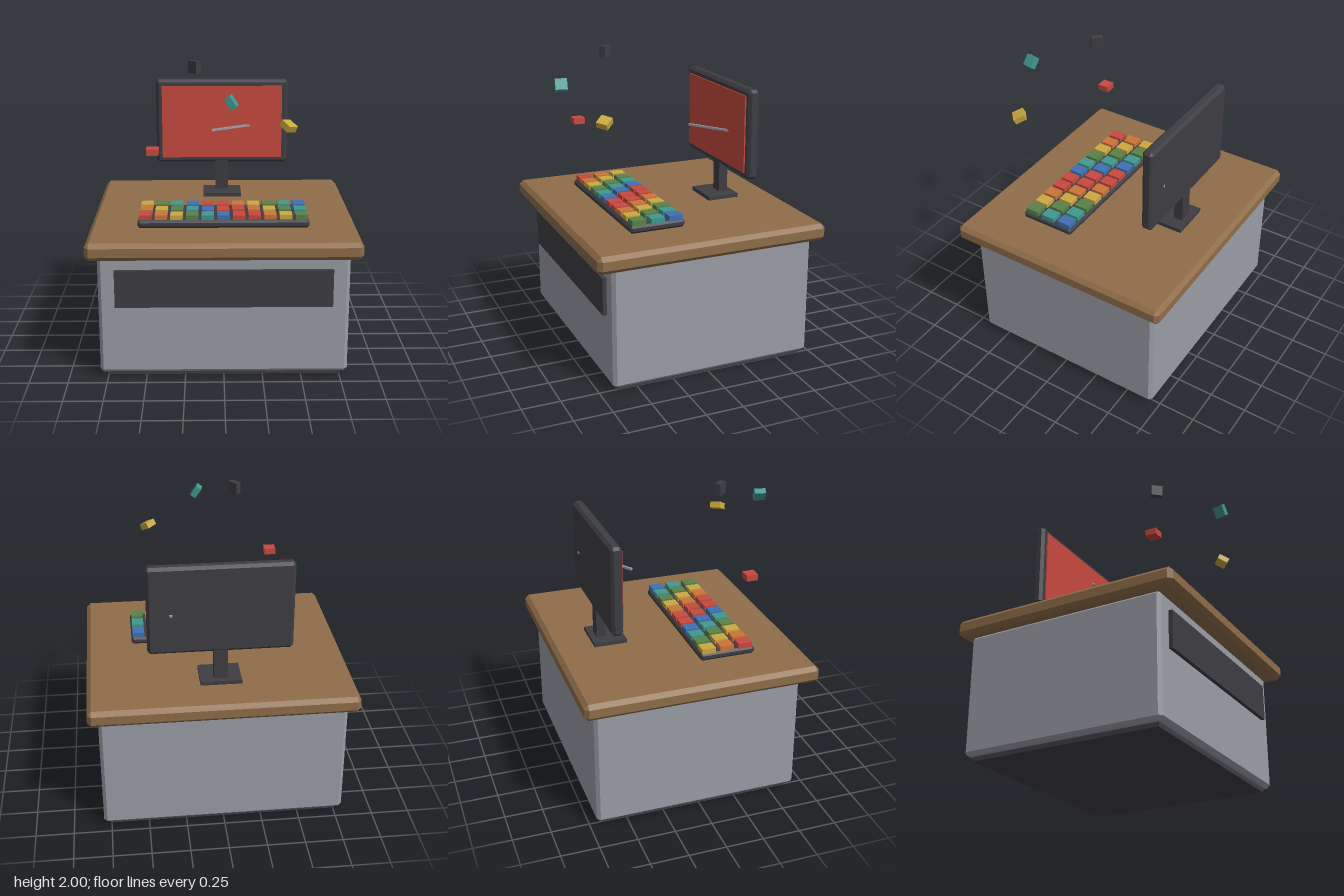
import * as THREE from 'three';
import { ConvexGeometry } from 'three/addons/geometries/ConvexGeometry.js';

const mat = (name, color) => {
  const m = new THREE.MeshStandardMaterial({ color });
  m.name = name;
  return m;
};

// Box with every edge cut by a flat chamfer
function chamferBox(w, h, d, c) {
  const half = [w / 2, h / 2, d / 2];
  const points = [];
  for (const sx of [-1, 1]) for (const sy of [-1, 1]) for (const sz of [-1, 1]) {
    for (let axis = 0; axis < 3; axis++) {
      const p = [sx, sy, sz].map((s, i) => s * (half[i] - (i === axis ? 0 : c)));
      points.push(new THREE.Vector3(...p));
    }
  }
  return new ConvexGeometry(points);
}

export function createModel() {
  const model = new THREE.Group();
  model.name = 'deskWithComputer';

  const wood = mat('wood', 0x8f6d49);
  const grey = mat('metalGrey', 0x9a9da6);
  const dark = mat('charcoal', 0x3e3d43);
  const red = mat('red', 0xc8493f);
  const orange = mat('orange', 0xcc7538);
  const yellow = mat('yellow', 0xcaa840);
  const green = mat('green', 0x588249);
  const teal = mat('teal', 0x40988f);
  const blue = mat('blue', 0x3f70b4);

  // Adds a box given by its extents on each axis, chamfered if c is set
  function block(name, material, [x0, x1], [y0, y1], [z0, z1], c = 0) {
    const size = [x1 - x0, y1 - y0, z1 - z0];
    const geo = c ? chamferBox(...size, c) : new THREE.BoxGeometry(...size);
    const mesh = new THREE.Mesh(geo, material);
    mesh.name = name;
    mesh.position.set((x0 + x1) / 2, (y0 + y1) / 2, (z0 + z1) / 2);
    model.add(mesh);
    return mesh;
  }

  // Desk
  block('plinth', dark, [-0.755, 0.755], [0, 0.06], [-0.664, 0.627]);
  block('cabinet', grey, [-0.8, 0.8], [0.03, 0.835], [-0.706, 0.668], 0.022);
  block('frontPanel', dark, [-0.692, 0.692], [0.492, 0.738], [0.64, 0.694]);
  block('desktop', wood, [-0.866, 0.866], [0.828, 0.94], [-0.778, 0.778], 0.027);

  // Monitor
  block('monitorFoot', dark, [-0.135, 0.135], [0.938, 0.966], [-0.514, -0.291]);
  block('monitorNeck', dark, [-0.045, 0.045], [0.95, 1.22], [-0.475, -0.412]);
  block('monitorCase', dark, [-0.467, 0.467], [1.165, 1.762], [-0.484, -0.408], 0.019);
  block('screen', red, [-0.425, 0.425], [1.205, 1.72], [-0.407, -0.398]);

  // Thin rod stuck through the screen
  const from = new THREE.Vector3(-0.075, 1.438, -0.232);
  const to = new THREE.Vector3(0.325, 1.438, -0.487);
  const rod = new THREE.Mesh(new THREE.BoxGeometry(0.016, 0.014, from.distanceTo(to)), grey);
  rod.name = 'rod';
  rod.position.copy(from).lerp(to, 0.5);
  rod.lookAt(to);
  model.add(rod);

  // Keyboard with three rows of keys in a shifting colour cycle
  block('keyboardBase', dark, [-0.555, 0.555], [0.94, 0.992], [0.078, 0.454], 0.015);
  const cycle = [red, orange, yellow, green, teal, blue, red];
  const keys = new THREE.Group();
  keys.name = 'keys';
  const keyGeo = new THREE.BoxGeometry(0.08, 0.042, 0.094);
  for (let row = 0; row < 3; row++) {
    for (let col = 0; col < 11; col++) {
      const key = new THREE.Mesh(keyGeo, cycle[(col + 2 - row) % 7]);
      key.name = 'key';
      key.position.set((col - 5) * 0.1012, 1.001, 0.137 + row * 0.1255);
      keys.add(key);
    }
  }
  model.add(keys);

  // Loose keys flying in the air: position, thin axis, side axis
  const looseGeo = new THREE.BoxGeometry(0.077, 0.042, 0.077);
  const loose = [
    [red, [-0.448, 1.45, 0.446], [0, 1, 0], [0, 0, 1]],
    [yellow, [0.399, 1.632, 0.555], [0.4, 0.88, 0.24], [0.69, -0.22, -0.69]],
    [teal, [0.043, 1.81, 0.713], [0.82, 0.57, 0.167], [-0.2, 0, 0.98]],
    [dark, [-0.18, 1.965, 0.334], [0.76, 0, -0.65], [0.65, 0, 0.76]],
  ];
  for (const [material, position, up, side] of loose) {
    const y = new THREE.Vector3(...up).normalize();
    const z = new THREE.Vector3(...side).projectOnPlane(y).normalize();
    const x = new THREE.Vector3().crossVectors(y, z);
    const key = new THREE.Mesh(looseGeo, material);
    key.name = 'looseKey';
    key.quaternion.setFromRotationMatrix(new THREE.Matrix4().makeBasis(x, y, z));
    key.position.set(...position);
    model.add(key);
  }

  return model;
}
